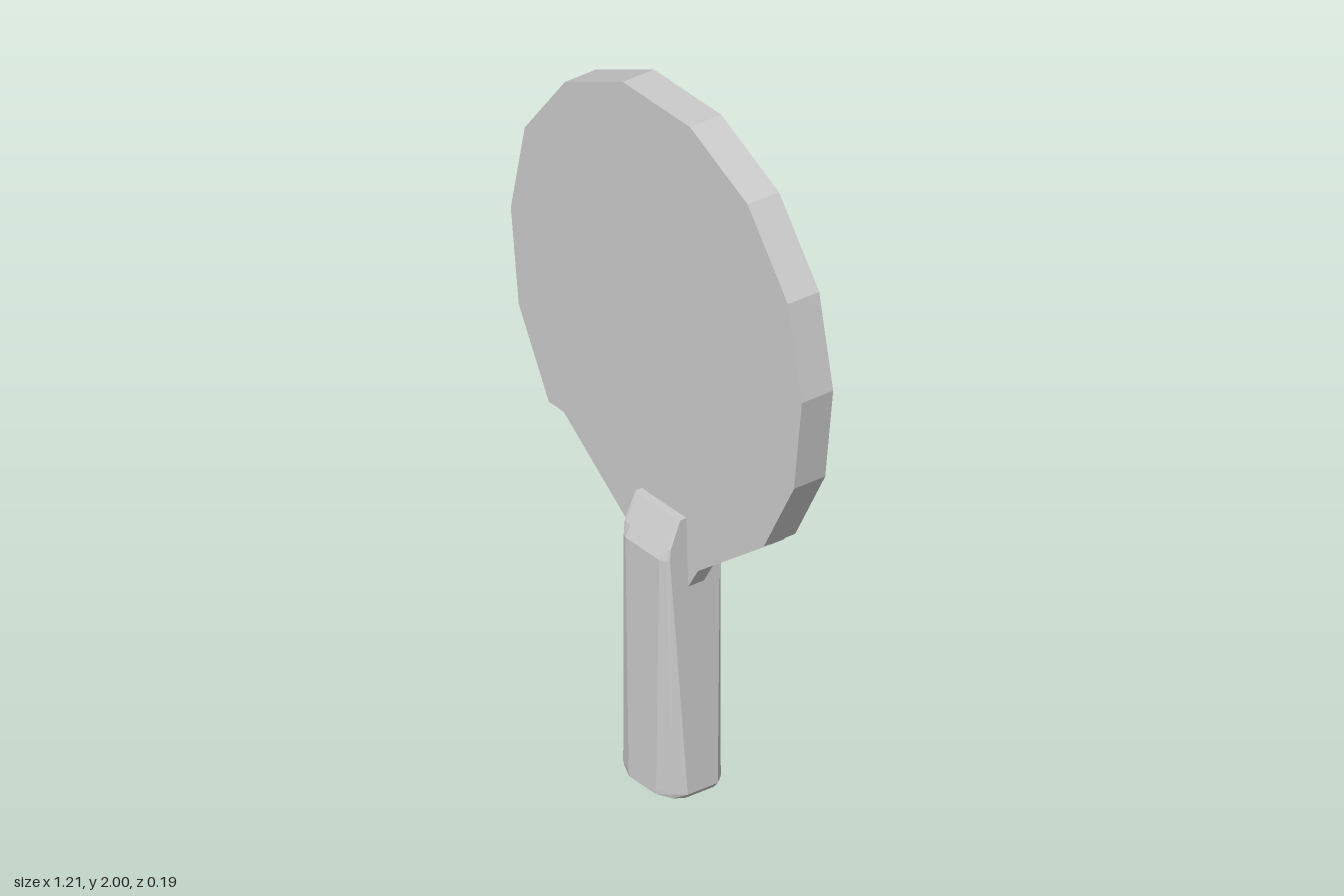
import * as THREE from 'three';

const material = new THREE.MeshStandardMaterial({ color: 0xcccccc, flatShading: true });

// Symmetric slab from the outline of its +x half (top to bottom)
function slab(name, half, depth) {
  const mirrored = half.map(([x, y]) => [-x, y]).reverse();
  const shape = new THREE.Shape([...half, ...mirrored].map(([x, y]) => new THREE.Vector2(x, y)));
  const geo = new THREE.ExtrudeGeometry(shape, { depth, bevelEnabled: false });
  geo.translate(0, 0, -depth / 2);
  const mesh = new THREE.Mesh(geo, material);
  mesh.name = name;
  return mesh;
}

// Closed skin through rings of equal point count, stacked upwards
function loft(rings) {
  const n = rings[0].length, pos = [];
  const tri = (...pts) => pts.forEach((p) => pos.push(...p));
  for (let r = 0; r < rings.length - 1; r++) {
    for (let i = 0; i < n; i++) {
      const j = (i + 1) % n, lo = rings[r], hi = rings[r + 1];
      tri(lo[i], hi[i], lo[j]);
      tri(lo[j], hi[i], hi[j]);
    }
  }
  const bottom = rings[0], top = rings[rings.length - 1];
  for (let i = 0; i < n; i++) {
    const j = (i + 1) % n;
    tri([0, bottom[0][1], 0], bottom[i], bottom[j]);
    tri([0, top[0][1], 0], top[j], top[i]);
  }
  const geo = new THREE.BufferGeometry();
  geo.setAttribute('position', new THREE.Float32BufferAttribute(pos, 3));
  geo.computeVertexNormals();
  return geo;
}

export function createModel() {
  const group = new THREE.Group();
  group.name = 'tableTennisBat';

  // Rubber-covered hitting face, thicker than the wood
  group.add(slab('rubberFace', [
    [0.14, 2], [0.38, 1.885], [0.547, 1.67], [0.605, 1.405], [0.572, 1.135], [0.447, 0.905],
  ], 0.1));

  // Thin wooden blade running from inside the rubber into the handle
  group.add(slab('woodBlade', [
    [0.54, 1.12], [0.435, 0.893], [0.14, 0.675], [0.1, 0.61],
  ], 0.05));

  // Handle: each row is y, then side, corner and front points (x, z) of a quadrant
  const rows = [
    [0, [0.117, 0.045], [0.1, 0.074], [0.055, 0.095]],
    [0.015, [0.128, 0.048], [0.104, 0.076], [0.057, 0.095]],
    [0.7, [0.096, 0.08], [0.088, 0.087], [0.07, 0.095]],
    [0.733, [0.095, 0.078], [0.087, 0.08], [0.07, 0.08]],
    [0.81, [0.093, 0.045], [0.086, 0.045], [0.07, 0.045]],
  ];
  const rings = rows.map(([y, ...q]) => {
    const back = [...q].reverse();
    return [
      ...q.map(([x, z]) => [x, y, z]),
      ...back.map(([x, z]) => [-x, y, z]),
      ...q.map(([x, z]) => [-x, y, -z]),
      ...back.map(([x, z]) => [x, y, -z]),
    ];
  });
  const handle = new THREE.Mesh(loft(rings), material);
  handle.name = 'handle';
  group.add(handle);

  return group;
}
